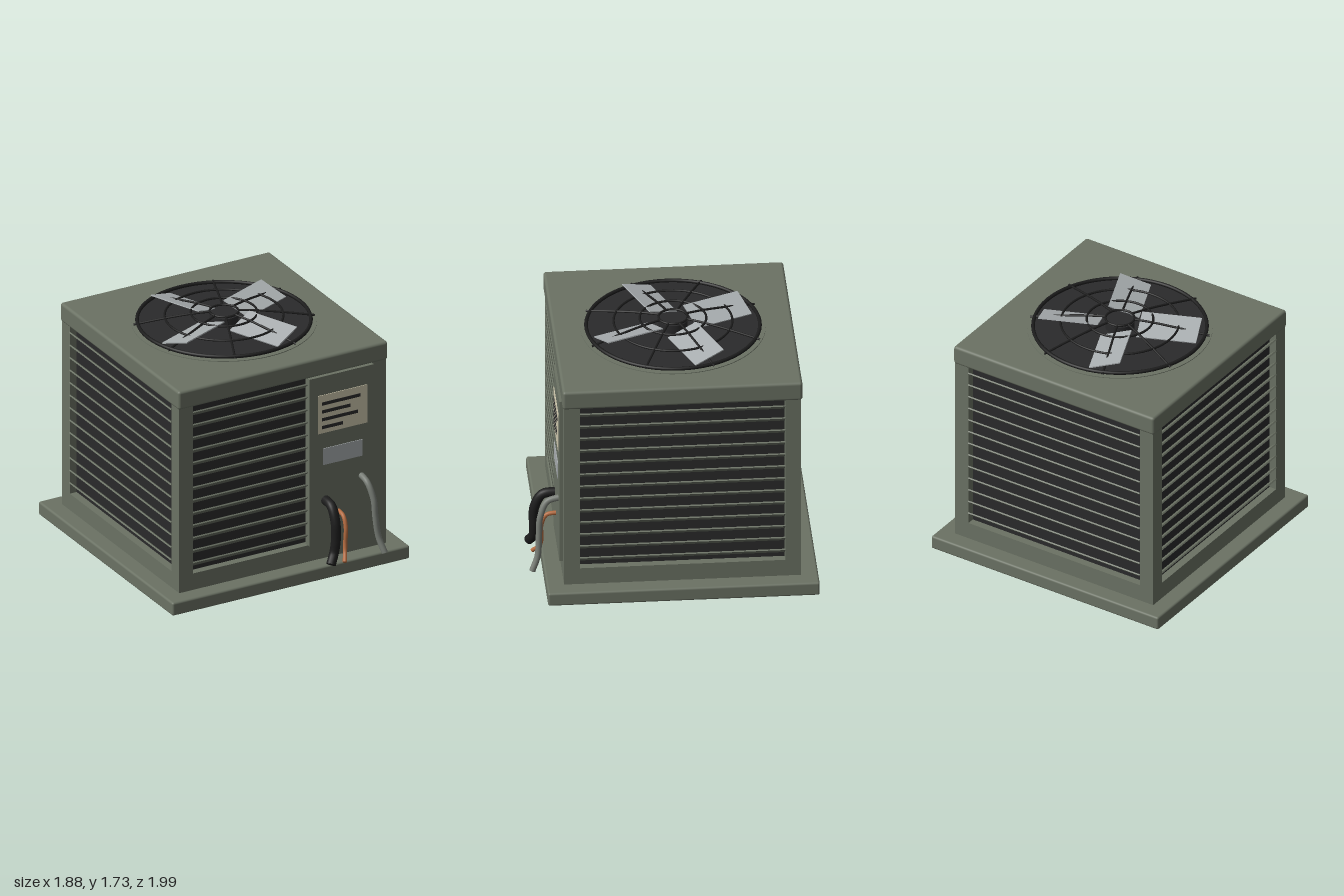
import * as THREE from 'three';
import { RoundedBoxGeometry } from 'three/addons/geometries/RoundedBoxGeometry.js';

const mat = (name, color, side = THREE.FrontSide) => {
  const m = new THREE.MeshStandardMaterial({ color, side });
  m.name = name;
  return m;
};

export function createModel() {
  const green = mat('cabinetGreen', 0x6b7264);
  const dark = mat('innerDark', 0x2a2a2b);
  const black = mat('grilleBlack', 0x1c1c1c);
  const silver = mat('bladeSilver', 0xa9aeb0);
  const cream = mat('labelCream', 0xcfc8ae);
  const copper = mat('pipeCopper', 0xb36b40);
  const grey = mat('conduitGrey', 0x777c75);

  const root = new THREE.Group();
  root.name = 'airConditionerUnit';

  const add = (parent, name, geometry, material, x = 0, y = 0, z = 0) => {
    const mesh = new THREE.Mesh(geometry, material);
    mesh.name = name;
    mesh.position.set(x, y, z);
    parent.add(mesh);
    return mesh;
  };
  const box = (w, h, d) => new THREE.BoxGeometry(w, h, d);
  const group = (parent, name) => {
    const g = new THREE.Group();
    g.name = name;
    parent.add(g);
    return g;
  };

  // Cabinet, centred slightly behind the origin because the pipes stick out in front
  const cabinet = group(root, 'cabinet');
  cabinet.position.z = -0.06;
  add(cabinet, 'baseSlab', new RoundedBoxGeometry(1.88, 0.1, 1.88, 3, 0.015), green, 0, 0.05, 0);
  add(cabinet, 'bottomFrame', box(1.64, 0.127, 1.64), green, 0, 0.1615, 0);
  add(cabinet, 'lid', new RoundedBoxGeometry(1.66, 0.14, 1.66, 3, 0.02), green, 0, 1.57, 0);
  add(cabinet, 'core', box(1.53, 1.3, 1.53), dark, 0, 0.865, 0);
  for (const sx of [-1, 1]) {
    for (const sz of [-1, 1]) {
      add(cabinet, 'cornerPost', box(0.11, 1.32, 0.11), green, sx * 0.765, 0.85, sz * 0.765);
    }
  }

  // Louvers: outer edge tilted up, one bank per side
  for (let side = 0; side < 4; side++) {
    const bank = group(cabinet, 'louverBank');
    bank.rotation.y = side * Math.PI / 2;
    const x0 = -0.71, x1 = side === 0 ? 0.2 : 0.71;
    const slat = box(x1 - x0, 0.01, 0.072);
    for (let i = 0; i < 13; i++) {
      const m = add(bank, 'louver', slat, green, (x0 + x1) / 2, 0.287 + i * 0.0957, 0.796);
      m.rotation.x = -0.72;
    }
  }

  // Service panel with label and plate
  const panel = group(root, 'servicePanel');
  add(panel, 'panel', box(0.51, 1.275, 0.06), green, 0.455, 0.8625, 0.754);
  add(panel, 'label', box(0.39, 0.29, 0.006), cream, 0.46, 1.215, 0.786);
  [0.305, 0.225, 0.285, 0.165].forEach((w, i) => {
    add(panel, 'labelBar', box(w, 0.024, 0.004), dark, 0.295 + w / 2, 1.295 - i * 0.06, 0.79);
  });
  add(panel, 'plate', box(0.31, 0.125, 0.006), silver, 0.46, 0.888, 0.786);

  // Fan
  const fan = group(cabinet, 'fan');
  add(fan, 'fanCollar', new THREE.CylinderGeometry(0.64, 0.64, 0.02, 64), green, 0, 1.635, 0);
  add(fan, 'fanOpening', new THREE.CylinderGeometry(0.6, 0.6, 0.02, 64), dark, 0, 1.639, 0);
  add(fan, 'hub', new THREE.CylinderGeometry(0.1, 0.1, 0.06, 32), dark, 0, 1.677, 0);
  for (let i = 0; i < 4; i++) {
    const arm = group(fan, 'bladeArm');
    arm.rotation.y = Math.PI / 8 + i * Math.PI / 2;
    const blade = add(arm, 'blade', box(0.42, 0.008, 0.228), silver, 0.345, 1.687, 0);
    blade.rotation.x = 0.3;
  }

  // Domed guard of rings and spokes
  const guard = group(fan, 'fanGuard');
  for (const [r, y, t] of [[0.6, 1.66, 0.013], [0.41, 1.692, 0.008], [0.23, 1.715, 0.008], [0.1, 1.724, 0.008]]) {
    add(guard, 'guardRing', new THREE.TorusGeometry(r, t, 8, 64), black, 0, y, 0).rotation.x = Math.PI / 2;
  }
  const spokePath = new THREE.CatmullRomCurve3(
    [[0.1, 1.724], [0.23, 1.715], [0.41, 1.692], [0.63, 1.656]].map(([x, y]) => new THREE.Vector3(x, y, 0)));
  const spoke = new THREE.TubeGeometry(spokePath, 16, 0.008, 8);
  for (let i = 0; i < 8; i++) {
    add(guard, 'guardSpoke', spoke, black).rotation.y = Math.PI / 8 + i * Math.PI / 4;
  }

  // Pipes leaving the panel, each closed with an end cap
  const pipe = (name, radius, material, points) => {
    const g = group(root, name);
    const curve = new THREE.CatmullRomCurve3(points.map((p) => new THREE.Vector3(...p)));
    add(g, name + 'Tube', new THREE.TubeGeometry(curve, 40, radius, 14), material);
    const end = curve.getPoint(1);
    const cap = add(g, name + 'Cap', new THREE.CircleGeometry(radius, 14), material, end.x, end.y, end.z);
    cap.lookAt(end.clone().add(curve.getTangent(1)));
  };
  pipe('insulatedPipe', 0.034, black, [
    [0.325, 0.555, 0.76], [0.325, 0.54, 0.87], [0.325, 0.44, 0.925], [0.325, 0.3, 0.93], [0.31, 0.21, 0.93], [0.27, 0.145, 0.96]]);
  pipe('copperPipe', 0.015, copper, [
    [0.43, 0.45, 0.76], [0.43, 0.435, 0.85], [0.43, 0.36, 0.885], [0.425, 0.24, 0.885], [0.415, 0.18, 0.9], [0.388, 0.13, 0.945]]);
  pipe('conduit', 0.022, grey, [
    [0.61, 0.68, 0.76], [0.615, 0.65, 0.86], [0.635, 0.54, 0.91], [0.645, 0.4, 0.92], [0.665, 0.25, 0.93], [0.69, 0.143, 0.97]]);

  return root;
}
